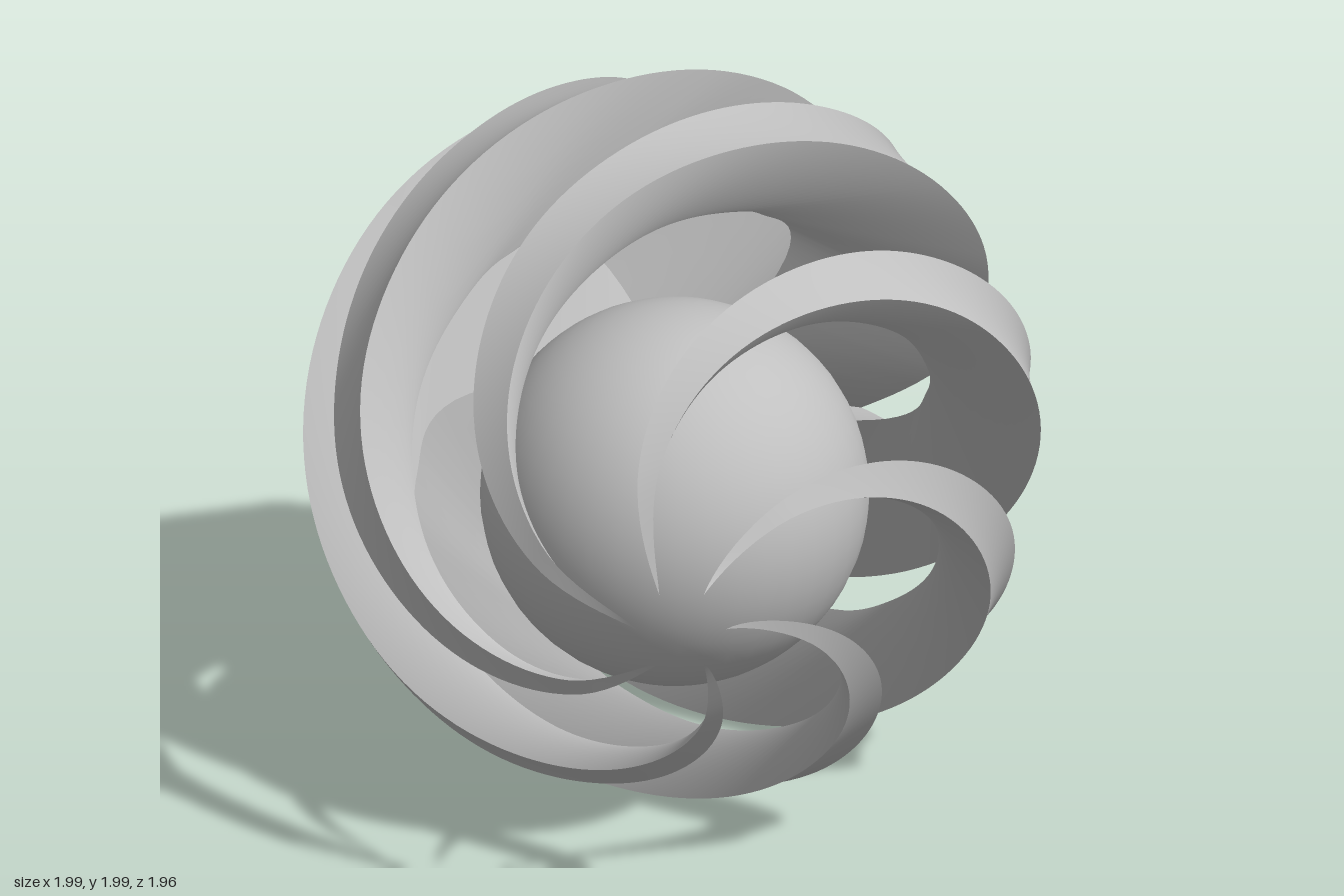
import * as THREE from 'three';

const ARMS = 6, STEPS = 96;
const FRONT = 0.98, BACK = -0.98, HOLLOW = -0.52; // z of tips, back plate and cavity floor
const BACK_SIDE = 0.61; // side of the back hexagon
const BULB = [0.12, 0.4, 0.62, 0.785, 0.905, 0.97, 0.997, 0.98, 0.92, 0.8, 0.61];
const CAVITY = [0.12, 0.31, 0.47, 0.585, 0.67, 0.72, 0.745, 0.735, 0.7, 0.57, 0];

// Smooth radius profile sampled by s in 0..1
function profile(radii) {
  const curve = new THREE.SplineCurve(radii.map((r, i) => new THREE.Vector2(i, r)));
  return (s) => Math.max(0, curve.getPoint(s).y);
}
const outerRadius = profile(BULB);
const innerRadius = profile(CAVITY);

// Half a turn between front and back
const twist = (z) => -Math.PI * (FRONT - z) / (FRONT - BACK);
const polar = (r, a, z) => [r * Math.cos(a), r * Math.sin(a), z];

// Triangular section of an arm: two outer corners and one inner corner
function section(s) {
  const z = THREE.MathUtils.lerp(FRONT, BACK, s);
  const zIn = THREE.MathUtils.lerp(FRONT, HOLLOW, s);
  const r = outerRadius(s);
  const half = Math.asin(Math.min(1, BACK_SIDE * s / 2 / r));
  return [
    polar(r, twist(z) + half, z),
    polar(innerRadius(s), twist(zIn), zIn),
    polar(r, twist(z) - half, z),
  ];
}

// One face of the arm, as a ruled strip between two section corners
function strip(from, to) {
  const pos = [], index = [];
  for (let i = 0; i <= STEPS; i++) {
    const sec = section(i / STEPS);
    pos.push(...sec[from], ...sec[to]);
    if (i < STEPS) {
      const a = i * 2, b = a + 1, a2 = a + 2, b2 = a + 3;
      index.push(a, a2, b, b, a2, b2);
    }
  }
  const geo = new THREE.BufferGeometry();
  geo.setAttribute('position', new THREE.Float32BufferAttribute(pos, 3));
  geo.setIndex(index);
  geo.computeVertexNormals();
  return geo;
}

export function createModel() {
  const model = new THREE.Group();
  model.name = 'twistedCageWithBall';
  const grey = new THREE.MeshStandardMaterial({ color: 0xc0c0c0, side: THREE.DoubleSide });
  grey.name = 'grey';

  const add = (geo, name, parent) => {
    const mesh = new THREE.Mesh(geo, grey);
    mesh.name = name;
    parent.add(mesh);
    return mesh;
  };

  // Spiral arms, each with three creased faces
  const faces = [
    ['armBackFace', strip(0, 1)],
    ['armFrontFace', strip(1, 2)],
    ['armOuterFace', strip(2, 0)],
  ];
  for (let k = 0; k < ARMS; k++) {
    const arm = new THREE.Group();
    arm.name = 'spiralArm' + (k + 1);
    arm.rotation.z = k * Math.PI * 2 / ARMS;
    arm.position.y = 1;
    faces.forEach(([name, geo]) => add(geo, name, arm));
    model.add(arm);
  }

  // Flat hexagonal back plate
  const plate = add(new THREE.CircleGeometry(BACK_SIDE, ARMS, Math.PI / 6), 'backPlate', model);
  plate.rotation.y = Math.PI;
  plate.position.set(0, 1, BACK);

  // Ball held inside the arms
  const ball = add(new THREE.SphereGeometry(0.527, 40, 28), 'ball', model);
  ball.position.set(0, 1, 0.135);

  return model;
}
